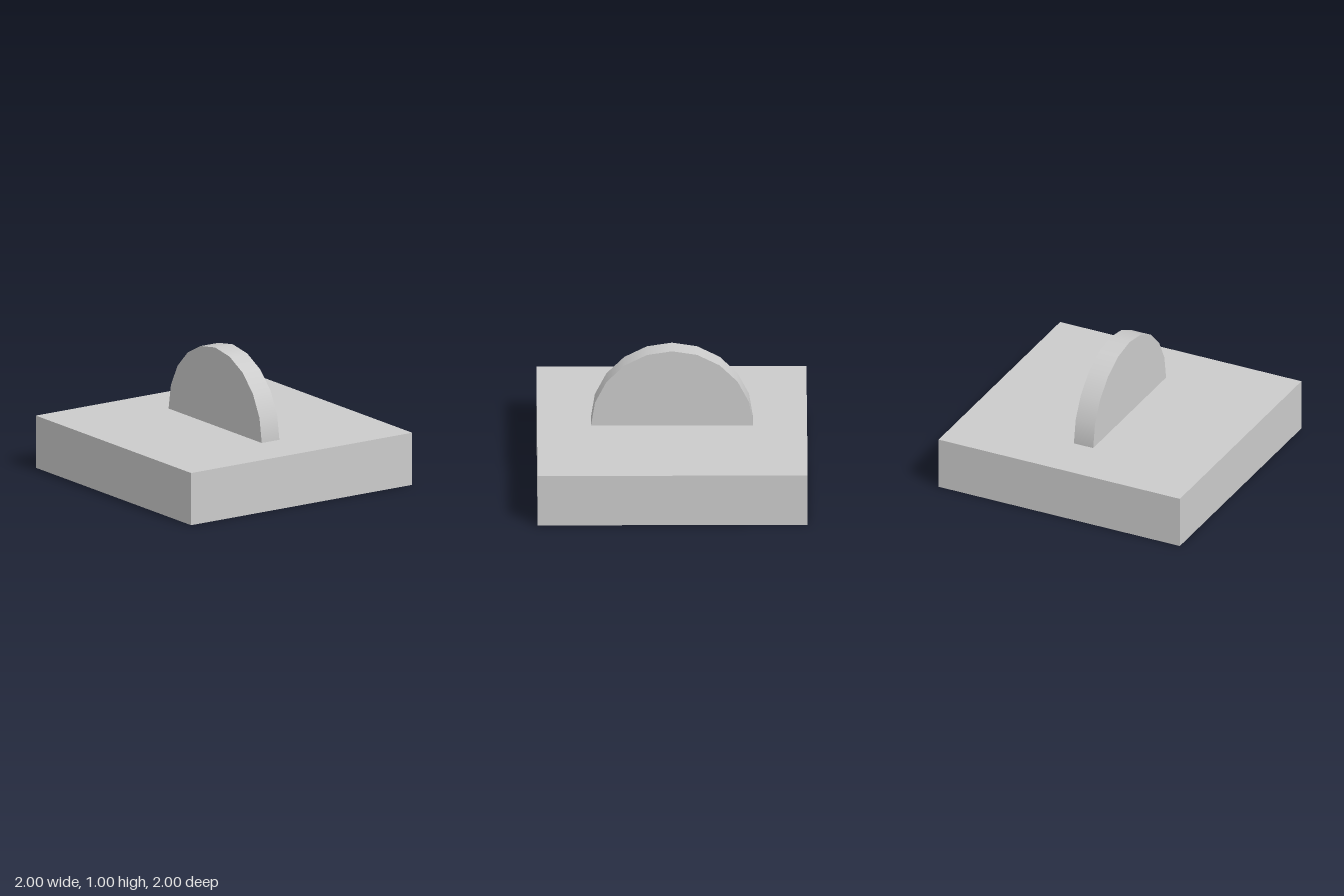
import * as THREE from 'three';

export function createModel() {
  const group = new THREE.Group();
  const material = new THREE.MeshStandardMaterial({ color: 0xcccccc });
  const baseHeight = 0.4;

  const addPart = (name, geometry, y) => {
    const mesh = new THREE.Mesh(geometry, material);
    mesh.name = name;
    mesh.position.y = y;
    group.add(mesh);
  };

  // Square slab
  addPart('base', new THREE.BoxGeometry(2, baseHeight, 2), baseHeight / 2);

  // Upright half disc: ten rim segments, its flat side resting on the slab
  const disc = new THREE.CylinderGeometry(0.6, 0.6, 0.16, 10, 1, false, Math.PI / 2, Math.PI);
  disc.rotateX(Math.PI / 2);
  addPart('halfDisc', disc, baseHeight);

  return group;
}
